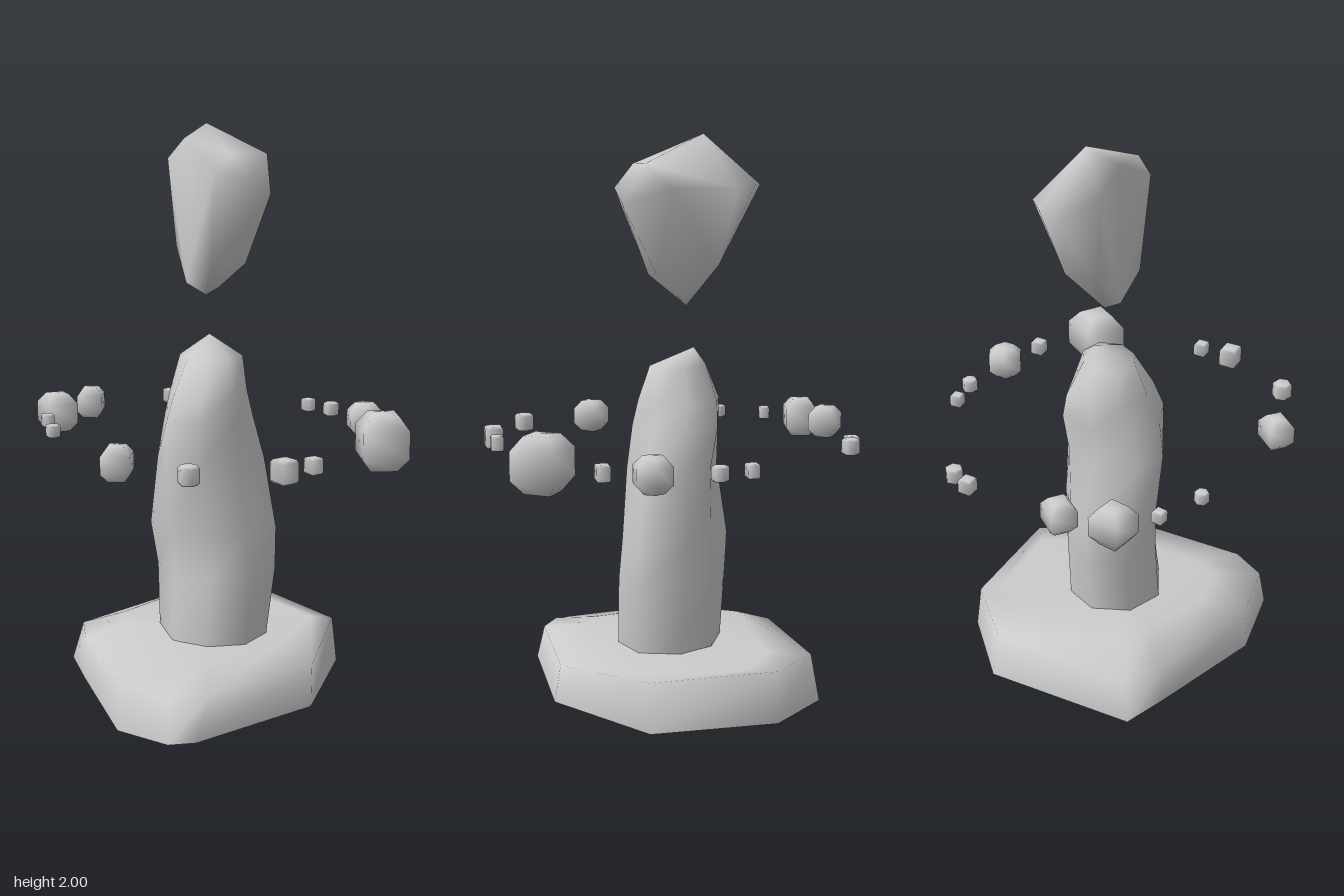
import * as THREE from 'three';
import { mergeVertices } from 'three/addons/utils/BufferGeometryUtils.js';
import { ConvexGeometry } from 'three/addons/geometries/ConvexGeometry.js';

const stone = new THREE.MeshStandardMaterial({ color: 0xcccccc, side: THREE.DoubleSide });

function addMesh(group, name, geometry) {
  const mesh = new THREE.Mesh(geometry, stone);
  mesh.name = name;
  group.add(mesh);
  return mesh;
}

// Skin stacked rings of points (bottom to top), closed at the top by one apex point
function loft(rings, apex) {
  const n = rings[0].length;
  const positions = [...rings.flat(), apex].flat();
  const index = [];
  for (let r = 0; r < rings.length; r++) {
    for (let i = 0; i < n; i++) {
      const a = r * n + i, b = r * n + (i + 1) % n;
      if (r < rings.length - 1) index.push(a, b, b + n, a, b + n, a + n);
      else index.push(a, b, rings.length * n);
    }
  }
  const g = new THREE.BufferGeometry();
  g.setAttribute('position', new THREE.Float32BufferAttribute(positions, 3));
  g.setIndex(index);
  g.computeVertexNormals();
  return g;
}

// Irregular slab, hollow underneath
function baseGeometry() {
  const bottom = [
    [0.45, 0.04, 0.41], [0.45, 0.04, -0.08], [0.18, 0.04, -0.44], [-0.26, 0.04, -0.44],
    [-0.47, 0.03, -0.24], [-0.46, 0.03, 0.31], [-0.29, 0.02, 0.37], [0.14, 0, 0.51], [0.39, 0.03, 0.48],
  ];
  const rim = [
    [0.43, 0.18, 0.34], [0.43, 0.18, -0.1], [0.18, 0.21, -0.415], [-0.26, 0.215, -0.415],
    [-0.44, 0.2, -0.23], [-0.43, 0.17, 0.28], [-0.29, 0.17, 0.36], [0.13, 0.17, 0.5], [0.37, 0.17, 0.46],
  ];
  const inner = rim.map(([x, , z]) => [x * 0.65, z > 0.2 && x < 0 ? 0.235 : 0.21, z * (z < 0 ? 0.88 : 0.7)]);
  return loft([bottom, rim, inner], [0, 0.215, 0]);
}

// Eight-sided standing stone; rows are y, left, right, back, front, diagonal stretch
function pillarGeometry() {
  const rows = [
    [0.1, -0.16, 0.2, -0.16, 0.19, 0.03], [0.23, -0.17, 0.205, -0.17, 0.195, 0.05],
    [0.45, -0.18, 0.205, -0.19, 0.18, 0.12], [0.6, -0.19, 0.19, -0.185, 0.185, 0.2],
    [0.85, -0.155, 0.17, -0.175, 0.205, 0.06], [1.0, -0.16, 0.15, -0.165, 0.195, -0.08],
    [1.09, -0.16, 0.13, -0.14, 0.155, -0.08], [1.21, -0.11, 0.09, -0.1, 0.1, 0.1],
  ];
  const rings = rows.map(([y, x0, x1, z0, z1, stretch]) => Array.from({ length: 8 }, (_, i) => {
    const t = i * Math.PI / 4, k = 0.5 * (1 + stretch * Math.sin(2 * t));
    return [(x0 + x1) / 2 + Math.cos(t) * k * (x1 - x0), y, (z0 + z1) / 2 - Math.sin(t) * k * (z1 - z0)];
  }));
  return loft(rings, [-0.06, 1.275, -0.03]);
}

// Pointed crystal, wide above and tapering down
function crystalGeometry() {
  const points = [
    [-0.09, 2, -0.04], [-0.07, 1.95, 0.07], [0.14, 1.9, 0.03], [0.13, 1.9, -0.13],
    [0.21, 1.82, 0], [0.2, 1.77, -0.09], [0.12, 1.85, 0.085], [0.05, 1.82, -0.19],
    [-0.17, 1.82, -0.19], [-0.25, 1.83, -0.12], [-0.29, 1.83, -0.04], [-0.18, 1.88, 0.06],
    [0.08, 1.52, 0.07], [0.08, 1.53, -0.08], [-0.16, 1.58, 0.04], [-0.13, 1.56, -0.1],
    [-0.06, 1.46, 0.07], [-0.04, 1.415, 0], [-0.02, 1.44, -0.04],
  ].map((p) => new THREE.Vector3(...p));
  const g = new ConvexGeometry(points);
  g.deleteAttribute('normal');
  const smooth = mergeVertices(g);
  smooth.computeVertexNormals();
  return smooth;
}

// Chamfered pebble of unit height; the small ones are blockier
function rockGeometry(sides, small) {
  const [top, shoulder] = small ? [0.45, 0.36] : [0.32, 0.24];
  const profile = [[0, -0.5], [top, -0.48], [0.56, -shoulder], [0.56, shoulder], [top, 0.48], [0, 0.5]];
  return new THREE.LatheGeometry(profile.map(([x, y]) => new THREE.Vector2(x, y)), sides);
}

export function createModel() {
  const model = new THREE.Group();
  model.name = 'floatingCrystalShrine';
  addMesh(model, 'base', baseGeometry());
  addMesh(model, 'pillar', pillarGeometry());
  addMesh(model, 'crystal', crystalGeometry());

  // Ring of floating rocks: x, y, z, size, sides, turn
  const rocks = [
    [-0.13, 0.945, -0.555, 0.05, 4, 0.85], [-0.02, 0.945, -0.572, 0.052, 6, 0.3],
    [0.19, 0.945, -0.548, 0.122, 6, 0], [0.34, 0.945, -0.487, 0.058, 4, 0.8],
    [0.51, 0.95, -0.33, 0.2, 4, 0.2], [-0.545, 0.955, -0.3, 0.056, 6, 0.2],
    [-0.573, 0.95, -0.23, 0.058, 4, 0.75], [-0.593, 0.965, 0.127, 0.118, 4, 0.1],
    [-0.55, 0.955, 0.3, 0.145, 4, 0.6], [-0.44, 0.955, 0.408, 0.048, 4, 0.6],
    [-0.28, 0.955, 0.483, 0.046, 6, 0.3], [0.21, 0.945, 0.543, 0.12, 4, 0.05],
    [0.478, 0.945, 0.457, 0.064, 6, 0.2], [0.617, 0.945, 0.07, 0.056, 4, 0.75],
    [0.617, 0.945, 0.19, 0.08, 4, Math.PI / 4],
  ];
  const ring = new THREE.Group();
  ring.name = 'rockRing';
  model.add(ring);
  for (const [x, y, z, size, sides, turn] of rocks) {
    const rock = addMesh(ring, 'rock', rockGeometry(sides, size < 0.1));
    rock.position.set(x, y, z);
    rock.scale.setScalar(size);
    rock.rotation.y = turn;
  }
  return model;
}
